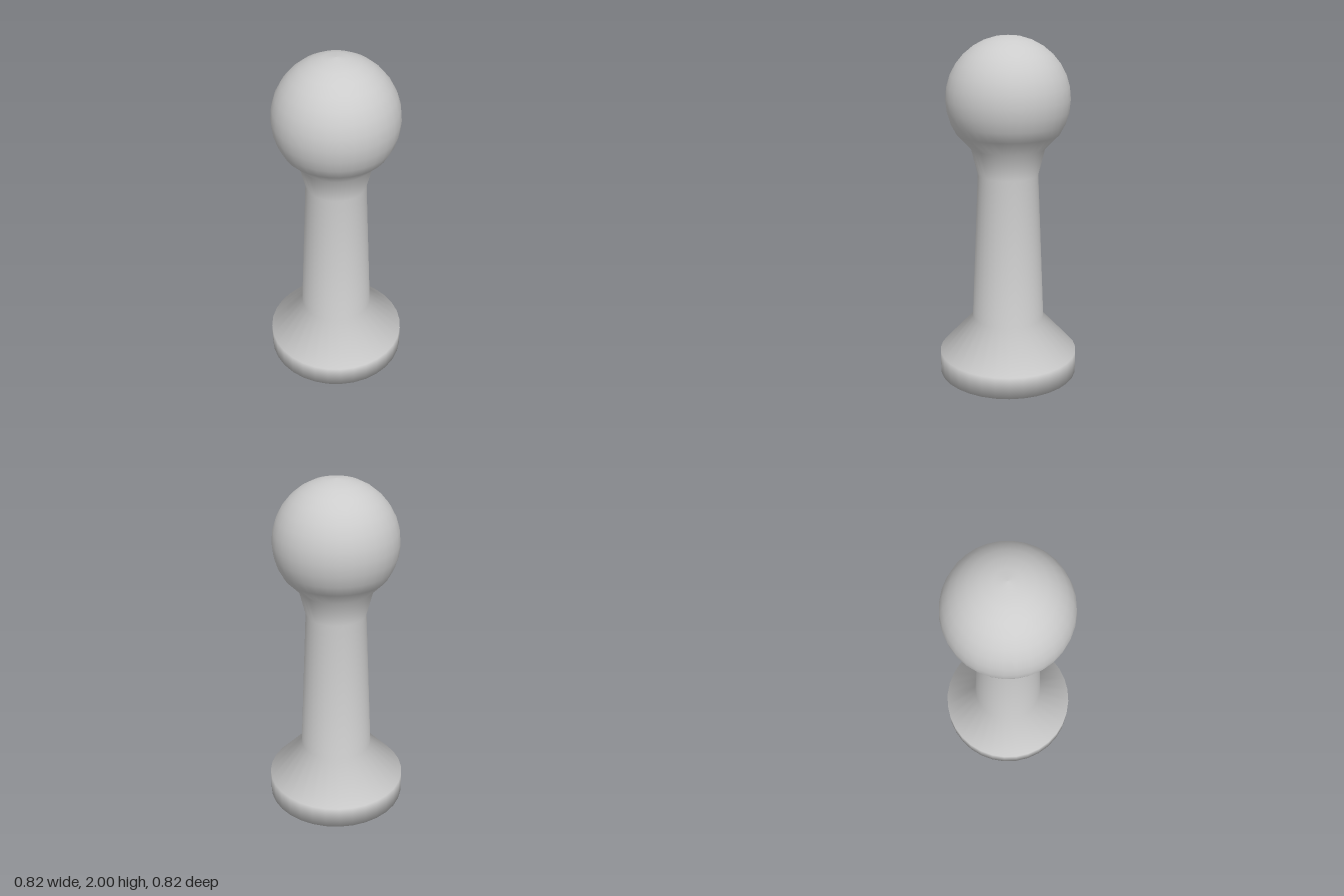
import * as THREE from 'three';

export function createModel() {
  const group = new THREE.Group();
  const lightGrey = new THREE.MeshStandardMaterial({ color: 0xcccccc });
  lightGrey.name = 'lightGrey';

  // Flat underside, foot, sloped shoulder, tapered stem and flared neck
  const profile = [
    [0, 0], [0.41, 0], [0.41, 0.13], [0.212, 0.345], [0.174, 1.215], [0.213, 1.37],
  ].map(([r, y]) => new THREE.Vector2(r, y));

  // Round head, from just above the neck to the top
  const radius = 0.352;
  const step = Math.PI / 16;
  for (let i = -3; i <= 8; i++) {
    const r = i === 8 ? 0 : radius * Math.cos(i * step);
    profile.push(new THREE.Vector2(r, 2 - radius + radius * Math.sin(i * step)));
  }

  // One smooth turned body
  const pawn = new THREE.Mesh(new THREE.LatheGeometry(profile, 32), lightGrey);
  pawn.name = 'turnedPawn';
  group.add(pawn);
  return group;
}
